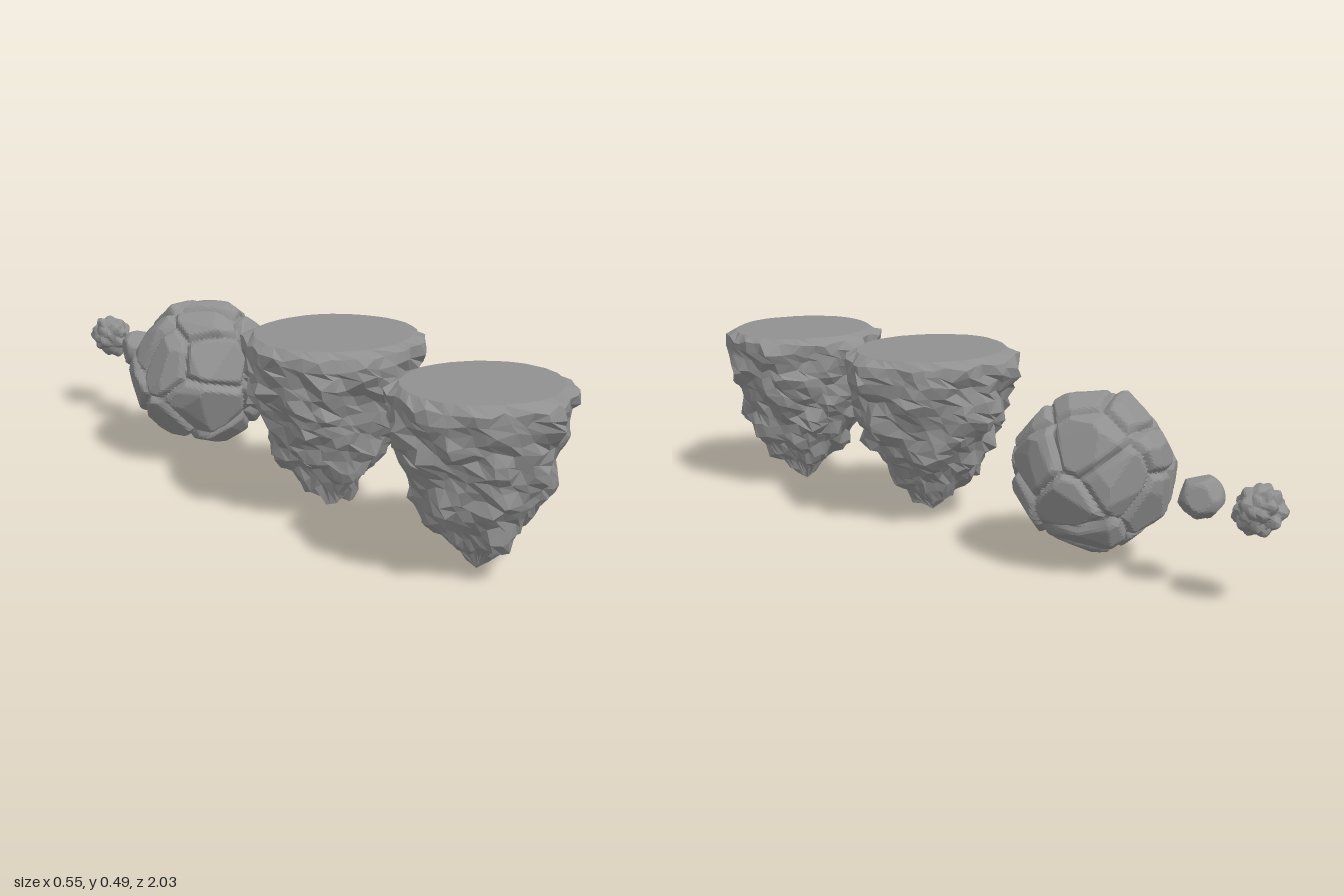
import * as THREE from 'three';

const material = new THREE.MeshStandardMaterial({ color: 0x909090, flatShading: true, side: THREE.DoubleSide });

// Small seeded random generator
function seeded(s) {
  return () => {
    s = (s * 16807) % 2147483647;
    return s / 2147483647;
  };
}

// Evenly spread, slightly jittered directions on a sphere
function directions(n, rand, jitter = 0.3) {
  return Array.from({ length: n }, (_, i) => {
    const y = 1 - (2 * (i + 0.5)) / n, a = i * 2.39996, r = Math.sqrt(1 - y * y);
    const j = () => (rand() - 0.5) * jitter;
    return new THREE.Vector3(Math.cos(a) * r + j(), y + j(), Math.sin(a) * r + j()).normalize();
  });
}

// A faceted, pyramid-shaped knob of rock at a point
function makeKnob(point, normal, height, radius, rand) {
  const u = new THREE.Vector3(rand() - 0.5, rand() - 0.5, rand() - 0.5).cross(normal).normalize();
  return { point, normal, u, v: normal.clone().cross(u), height, radius };
}

const offset = new THREE.Vector3();
function knobHeight(p, knobs) {
  let best = 0;
  for (const k of knobs) {
    offset.subVectors(p, k.point);
    const d = (Math.abs(offset.dot(k.u)) + Math.abs(offset.dot(k.v)) + 0.6 * Math.abs(offset.dot(k.normal))) / k.radius;
    best = Math.max(best, k.height * Math.min(1.1 * (1 - d), 0.98));
  }
  return best;
}

function moveVertices(geometry, rule) {
  const pos = geometry.attributes.position, p = new THREE.Vector3();
  for (let i = 0; i < pos.count; i++) {
    p.fromBufferAttribute(pos, i);
    rule(p, i);
    pos.setXYZ(i, p.x, p.y, p.z);
  }
  geometry.computeVertexNormals();
  return geometry;
}

function addMesh(group, name, geometry, x, y, z) {
  const mesh = new THREE.Mesh(geometry, material);
  mesh.name = name;
  mesh.position.set(x, y, z);
  group.add(mesh);
}

// Flat-topped floating island; spikes lists the tips of its largest knobs
function islandGeometry(profile, widthX, count, size, spikes, seed) {
  const rand = seeded(seed), rows = 20, cols = 40;
  const curve = new THREE.SplineCurve(profile.map(([r, y]) => new THREE.Vector2(r, y)));
  const points = curve.getSpacedPoints(rows);
  points[0].x = 0;
  const top = points[rows].y;
  points.push(new THREE.Vector2(0, top));

  const outward = (p) => new THREE.Vector3(p.x, (p.y - top + 0.06) * 0.4, p.z).normalize();
  const knobs = Array.from({ length: count }, (_, i) => {
    const q = curve.getPointAt(0.06 + 0.88 * Math.sqrt((i + rand()) / count));
    const a = i * 2.39996 + rand() * 0.6;
    const p = new THREE.Vector3(Math.sin(a) * q.x * widthX, q.y, Math.cos(a) * q.x);
    return makeKnob(p, outward(p), size * (0.4 + 0.8 * rand()), 0.065 + 0.04 * rand(), rand);
  });
  for (const spike of spikes) {
    const p = new THREE.Vector3(...spike), n = outward(p);
    knobs.push(makeKnob(p.addScaledVector(n, -0.05), n, 0.058, 0.085, rand));
  }
  knobs.push(makeKnob(new THREE.Vector3(0, points[0].y, 0), new THREE.Vector3(0, -1, 0), 0.03, 0.07, rand));

  // Uneven facets: shift every vertex of the grid along the surface, alike at the seam
  const shifts = Array.from({ length: cols * points.length }, () => [rand() - 0.5, rand() - 0.5, rand()]);
  return moveVertices(new THREE.LatheGeometry(points, cols), (p, i) => {
    const row = i % points.length;
    if (row > rows) return;
    const [turn, lift, bulge] = shifts[i % shifts.length];
    const r = Math.hypot(p.x, p.z);
    const a = Math.atan2(p.x, p.z) + ((turn * 0.75 + (row % 2) * 0.5) * 2 * Math.PI) / cols;
    p.set(Math.sin(a) * r * widthX, p.y, Math.cos(a) * r);
    if (row > 0 && row < rows) p.y += lift * 0.017;
    const swell = (knobHeight(p, knobs) + bulge * 0.007) * (row === rows ? 0.35 : 1);
    p.addScaledVector(outward(p), swell);
    p.y = Math.min(p.y, row === rows ? top : top - 0.004);
  });
}

// Round rock cut by flat planes, with optional grooves between plates
function rockGeometry(radius, detail, cuts, spread, plates, seed) {
  const rand = seeded(seed);
  const planes = directions(cuts, rand, 0.5).map((n) => ({ n, d: radius * (1.01 - spread * rand()) }));
  const centres = directions(plates, rand, 0.5);
  return moveVertices(new THREE.IcosahedronGeometry(1, detail), (p) => {
    p.normalize();
    let r = radius * 1.1;
    for (const { n, d } of planes) {
      const c = n.dot(p);
      if (c > 0.3) r = Math.min(r, d / c);
    }
    let first = 9, second = 9;
    for (const c of centres) {
      const a = c.angleTo(p);
      if (a < first) [first, second] = [a, first];
      else if (a < second) second = a;
    }
    if (plates) r -= 0.02 * Math.pow(Math.max(0, 1 - (second - first) / 0.15), 1.3);
    p.multiplyScalar(r);
  });
}

// Little ball covered with knobs
function knobbyBallGeometry(radius, count, seed) {
  const rand = seeded(seed);
  const knobs = directions(count, rand, 0.4).map((n) =>
    makeKnob(n.clone().multiplyScalar(radius), n, 0.01 + 0.014 * rand(), 0.028 + 0.012 * rand(), rand));
  return moveVertices(new THREE.IcosahedronGeometry(radius, 9), (p) => {
    p.setLength(radius + knobHeight(p, knobs));
  });
}

export function createModel() {
  const group = new THREE.Group();
  group.name = 'floatingRocks';

  const front = islandGeometry(
    [[0, 0.03], [0.05, 0.06], [0.09, 0.11], [0.138, 0.2], [0.168, 0.3], [0.188, 0.38], [0.201, 0.43], [0.204, 0.46], [0.19, 0.475]],
    1.08, 68, 0.038,
    [[-0.25, 0.36, -0.06], [-0.03, 0.42, -0.23], [0.03, 0.4, 0.225], [-0.04, 0.09, 0.13], [0.22, 0.43, -0.1], [-0.17, 0.2, 0.05]],
    4217);
  addMesh(group, 'frontIsland', front, 0, 0, 0.775);

  const middle = islandGeometry(
    [[0, 0.045], [0.055, 0.07], [0.1, 0.13], [0.143, 0.21], [0.18, 0.31], [0.201, 0.39], [0.213, 0.44], [0.215, 0.47], [0.2, 0.487]],
    1.08, 72, 0.043,
    [[-0.03, 0.33, -0.26], [-0.27, 0.37, 0], [0.27, 0.41, 0.02], [-0.2, 0.38, 0.19], [0.08, 0.33, 0.245], [-0.05, 0.05, 0.06], [0.25, 0.28, 0]],
    9151);
  addMesh(group, 'middleIsland', middle, 0, 0, 0.21);

  addMesh(group, 'crackedBoulder', rockGeometry(0.215, 30, 70, 0.08, 22, 733), 0.008, 0.247, -0.4);

  addMesh(group, 'pebble', rockGeometry(0.055, 8, 11, 0.15, 0, 58), 0.008, 0.24, -0.752);

  addMesh(group, 'knobbyStone', knobbyBallGeometry(0.05, 34, 317), 0.02, 0.247, -0.935);

  return group;
}
